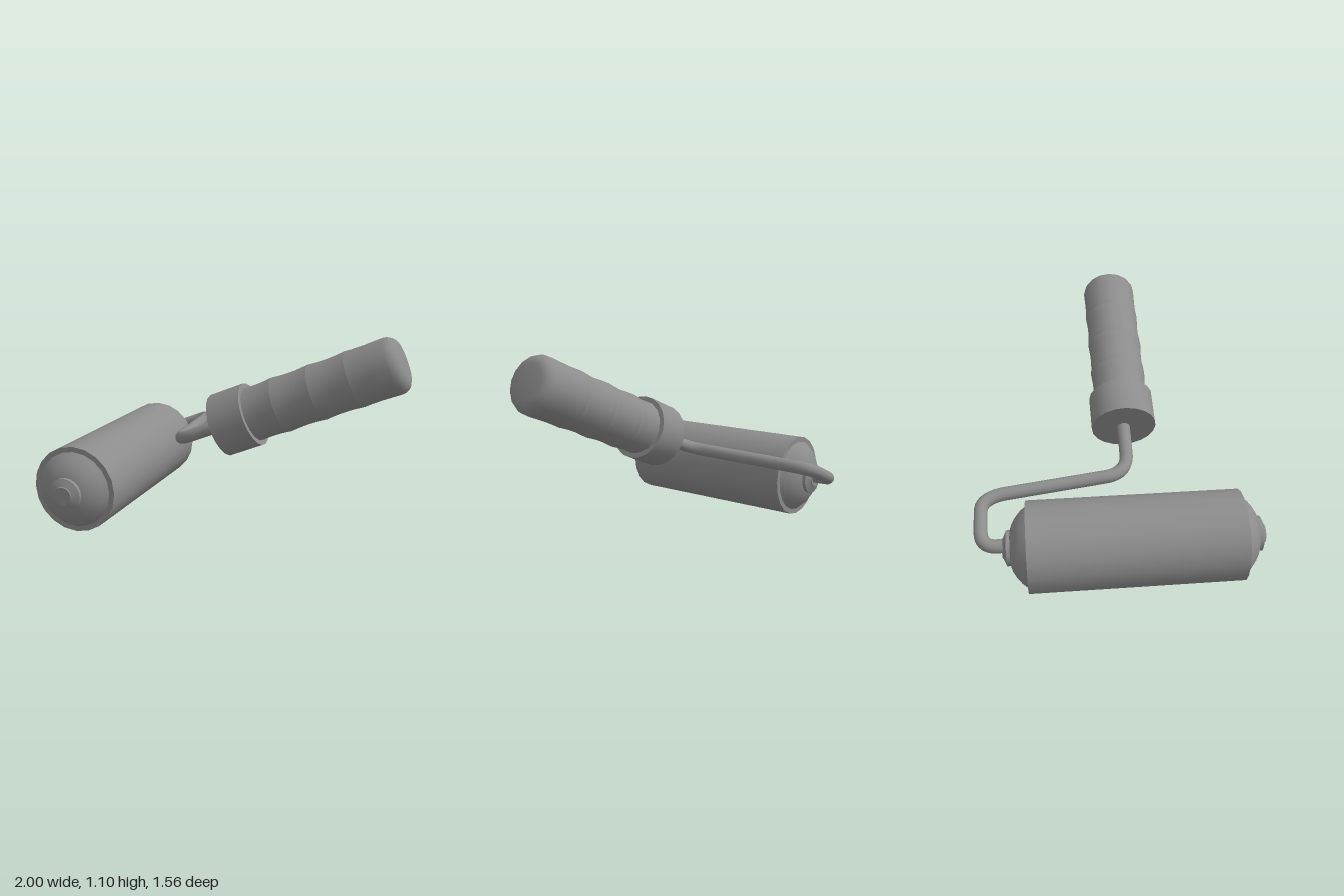
import * as THREE from 'three';
import { toCreasedNormals } from 'three/addons/utils/BufferGeometryUtils.js';

const material = new THREE.MeshStandardMaterial({ color: 0x8c8c8c });

// Revolve [radius, height] pairs around y, keeping sharp edges sharp
function lathe(name, profile, sides, crease = 0.5) {
  const points = profile.map(([r, y]) => new THREE.Vector2(r, y));
  const geometry = toCreasedNormals(new THREE.LatheGeometry(points, sides), crease);
  const mesh = new THREE.Mesh(geometry, material);
  mesh.name = name;
  return mesh;
}

export function createModel() {
  const model = new THREE.Group();
  model.name = 'paintRoller';

  // Roller: sleeve with a domed cap and a stepped hub at each end, axis along z
  const roller = new THREE.Group();
  roller.name = 'roller';
  roller.position.set(-0.753, 0.248, 0.075);
  roller.rotation.x = Math.PI / 2;
  const half = 0.575;
  roller.add(lathe('sleeve', [[0, -half], [0.247, -half], [0.247, half], [0, half]], 20));
  for (const side of [1, -1]) {
    const end = new THREE.Group();
    end.name = side > 0 ? 'frontCap' : 'backCap';
    end.add(lathe('dome', [
      [0.217, half - 0.01], [0.217, half], [0.193, half + 0.029], [0.162, half + 0.056],
      [0.127, half + 0.077], [0.09, half + 0.09], [0, half + 0.1],
    ], 20));
    end.add(lathe('hub', [
      [0.095, half + 0.08], [0.095, half + 0.108], [0.055, half + 0.125],
      [0.052, half + 0.13], [0, half + 0.13],
    ], 20, 0.35));
    if (side < 0) end.rotation.x = Math.PI;
    roller.add(end);
  }
  model.add(roller);

  // Bent wire frame: lies in the sloping plane shared with the handle axis
  const slope = Math.PI / 8;
  const onPlane = (x, z) => new THREE.Vector3(x, 0.538 + (x + 0.08) * Math.tan(slope), z);
  const bends = [
    // before the bend, corner, after the bend
    [[-0.748, -0.66], [-0.748, -0.745], [-0.66, -0.745]],
    [[-0.55, -0.745], [-0.475, -0.745], [-0.455, -0.61]],
    [[-0.388, -0.05], [-0.372, 0.08], [-0.25, 0.08]],
  ];
  const path = new THREE.CurvePath();
  let last = onPlane(-0.748, -0.58);
  for (const bend of bends) {
    const [a, b, c] = bend.map(([x, z]) => onPlane(x, z));
    path.add(new THREE.LineCurve3(last, a));
    path.add(new THREE.QuadraticBezierCurve3(a, b, c));
    last = c;
  }
  path.add(new THREE.LineCurve3(last, onPlane(-0.06, 0.082)));
  const wire = new THREE.Mesh(new THREE.TubeGeometry(path, 90, 0.038, 12), material);
  wire.name = 'wireFrame';
  model.add(wire);

  // Handle: collar and scalloped grip along one tilted axis
  const handle = new THREE.Group();
  handle.name = 'handle';
  handle.position.set(-0.08, 0.538, 0.084);
  handle.rotation.z = slope - Math.PI / 2;
  handle.add(lathe('collar', [[0, 0], [0.188, 0], [0.188, 0.21], [0, 0.21]], 20));

  // Shallow finger scallops, separate so that they meet at crisp ridges
  const ridges = [0.17, 0.39, 0.615, 0.84];
  for (let i = 0; i < 3; i++) {
    const scallop = [];
    for (let k = 0; k <= 6; k++) {
      const y = THREE.MathUtils.lerp(ridges[i], ridges[i + 1], k / 6);
      scallop.push([0.164 - 0.007 * Math.sin((Math.PI * k) / 6), y]);
    }
    handle.add(lathe('gripScallop', scallop, 16));
  }

  // Rounded butt of the grip
  const butt = [[0.164, 0.84], [0.161, 0.88], [0.16, 0.95], [0.163, 1.06]];
  const round = 0.067;
  for (let k = 1; k <= 5; k++) {
    const a = (k / 5) * Math.PI / 2;
    butt.push([0.163 - round * (1 - Math.cos(a)), 1.06 + round * Math.sin(a)]);
  }
  butt.push([0, 1.128]);
  handle.add(lathe('gripButt', butt, 16));
  model.add(handle);

  return model;
}
